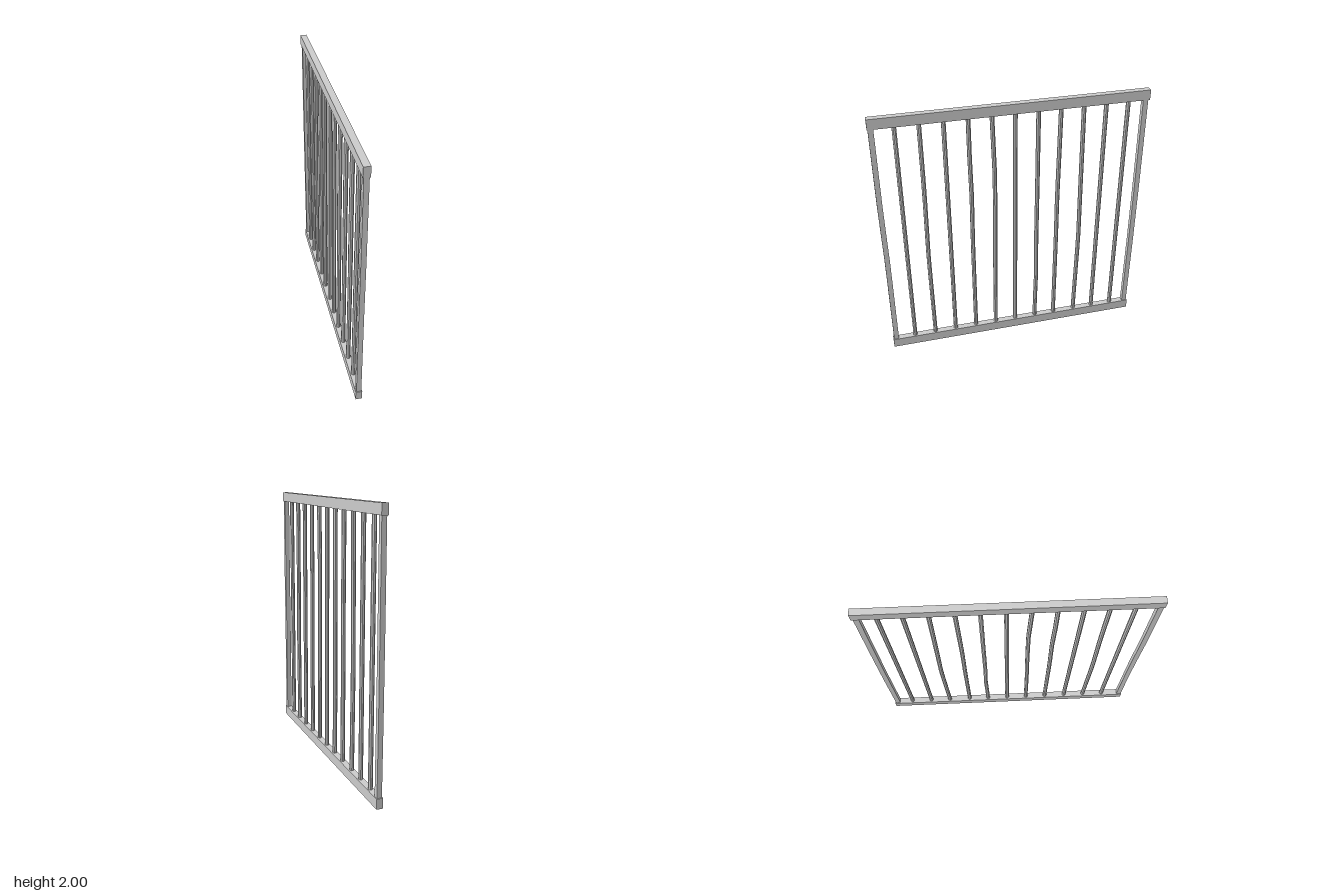
import * as THREE from 'three';

const BOTTOM = 0.05, TOP = 1.95, SEGMENTS = 12;

// Piecewise-linear sideways bend: list of [height, offset] from bottom to top
function bendAt(bend, y) {
  for (let i = 1; i < bend.length; i++) {
    const [y0, d0] = bend[i - 1], [y1, d1] = bend[i];
    if (y <= y1) return THREE.MathUtils.mapLinear(y, y0, y1, d0, d1);
  }
  return bend.length ? bend[bend.length - 1][1] : 0;
}

// Stand an upright at z and bend it along z
function upright(name, geometry, material, z, bend) {
  geometry.translate(0, (BOTTOM + TOP) / 2, 0);
  const p = geometry.attributes.position;
  for (let i = 0; i < p.count; i++) p.setZ(i, p.getZ(i) + z + bendAt(bend, p.getY(i)));
  geometry.computeVertexNormals();
  const mesh = new THREE.Mesh(geometry, material);
  mesh.name = name;
  return mesh;
}

export function createModel() {
  const group = new THREE.Group();
  group.name = 'barPanel';
  const material = new THREE.MeshStandardMaterial({ color: 0xcccccc, flatShading: true });

  // Top and bottom rails
  for (const [name, y] of [['bottomRail', 0.0375], ['topRail', 1.9625]]) {
    const rail = new THREE.Mesh(new THREE.BoxGeometry(0.048, 0.075, 2), material);
    rail.name = name;
    rail.position.y = y;
    group.add(rail);
  }

  // Square end posts, slightly warped
  const posts = [
    ['frontPost', 0.976, [[0, 0], [0.8, -0.003], [1.3, 0.002], [2, 0]]],
    ['backPost', -0.973, [[0, 0], [0.7, -0.003], [1.2, -0.002], [2, 0.003]]],
  ];
  for (const [name, z, bend] of posts) {
    const box = new THREE.BoxGeometry(0.036, TOP - BOTTOM, 0.038, 1, SEGMENTS, 1);
    group.add(upright(name, box, material, z, bend));
  }

  // Round bars, some of them bent: position and bend
  const bars = [
    [0.822, []],
    [0.656, [[0, 0], [0.4, 0.004], [0.8, 0.008], [1.4, 0], [2, 0]]],
    [0.49, []],
    [0.32, [[0, 0], [0.9, 0], [1.3, -0.005], [1.6, 0], [2, 0]]],
    [0.154, [[0, 0], [0.6, -0.004], [1, -0.01], [1.45, -0.014], [1.75, -0.005], [2, 0.002]]],
    [-0.012, []],
    [-0.179, [[0, 0], [0.3, -0.003], [0.55, -0.008], [0.75, -0.002], [1.3, -0.002], [2, 0]]],
    [-0.342, [[0, 0], [0.8, 0], [1.2, 0.003], [2, -0.002]]],
    [-0.516, [[0, 0], [0.4, -0.006], [0.8, -0.012], [1.3, -0.004], [2, 0.005]]],
    [-0.679, []],
    [-0.845, []],
  ];
  bars.forEach(([z, bend], i) => {
    const rod = new THREE.CylinderGeometry(0.0165, 0.0165, TOP - BOTTOM, 8, SEGMENTS);
    rod.rotateY(Math.PI / 8);
    group.add(upright(`bar${i + 1}`, rod, material, z, bend));
  });

  return group;
}
